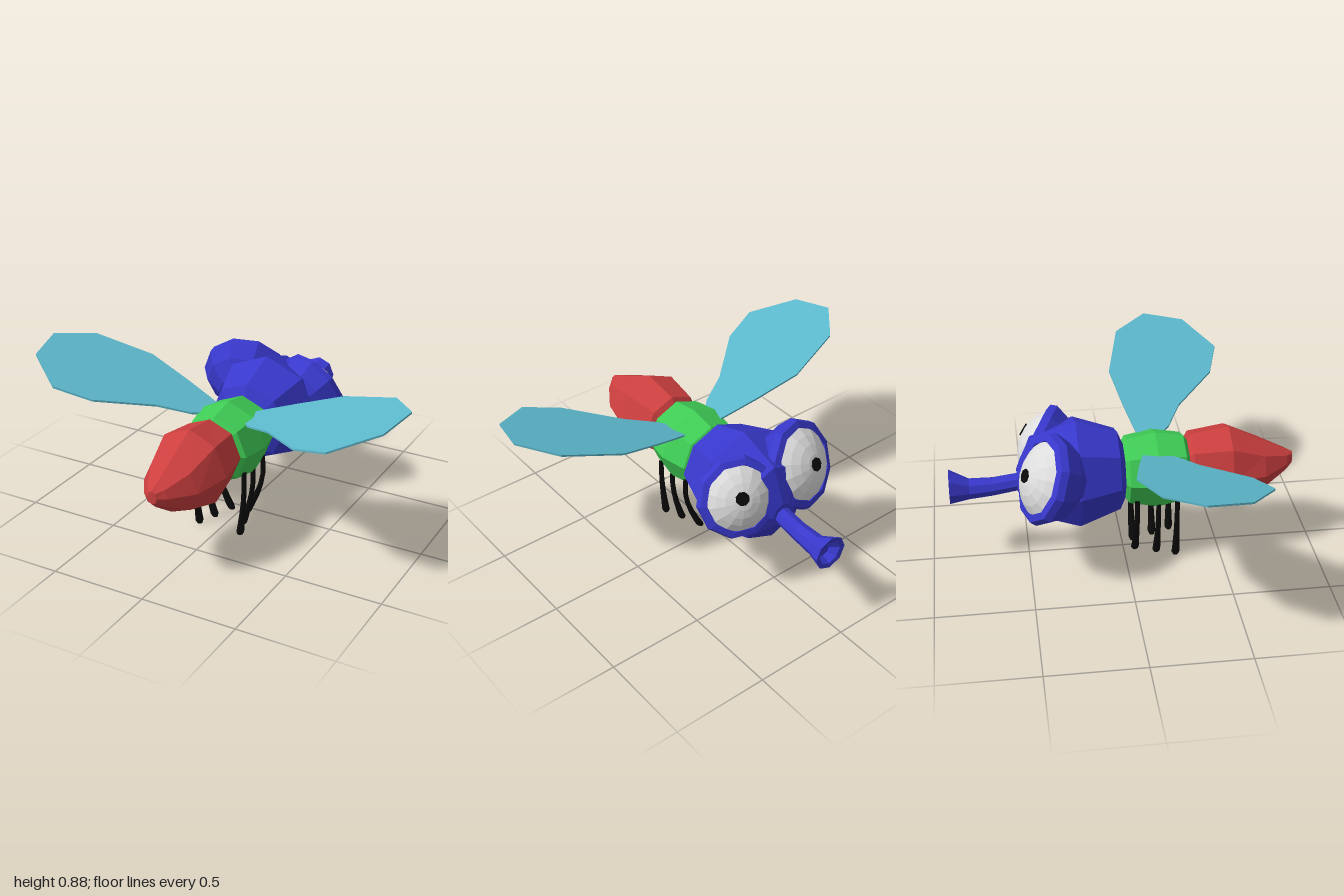
import * as THREE from 'three';

const mat = (name, color) => {
  const m = new THREE.MeshStandardMaterial({ color });
  m.name = name;
  return m;
};

// faceted normals
function flat(geometry) {
  const g = geometry.index ? geometry.toNonIndexed() : geometry;
  g.computeVertexNormals();
  return g;
}

// closed body along z from rings of [z, centreY, radiusX, radiusY]
function loft(rings, n = 8) {
  const pos = [], idx = [];
  for (const [z, cy, rx, ry] of rings) {
    for (let j = 0; j < n; j++) {
      const a = (j / n) * Math.PI * 2;
      pos.push(Math.sin(a) * rx, cy + Math.cos(a) * ry, z);
    }
  }
  const last = rings.length - 1;
  const c0 = pos.length / 3, c1 = c0 + 1;
  pos.push(0, rings[0][1], rings[0][0], 0, rings[last][1], rings[last][0]);
  for (let j = 0; j < n; j++) {
    const k = (j + 1) % n;
    for (let i = 0; i < last; i++) {
      const a = i * n + j, b = i * n + k, c = b + n, d = a + n;
      idx.push(a, d, c, a, c, b);
    }
    idx.push(c0, j, k, c1, last * n + k, last * n + j);
  }
  const g = new THREE.BufferGeometry();
  g.setAttribute('position', new THREE.Float32BufferAttribute(pos, 3));
  g.setIndex(idx);
  return flat(g);
}

const lathe = (points, sides) =>
  flat(new THREE.LatheGeometry(points.map(([r, y]) => new THREE.Vector2(r, y)), sides));

export function createModel() {
  const model = new THREE.Group();
  const red = mat('red', 0xcc3f3f), green = mat('green', 0x3fcc55), blue = mat('blue', 0x3838cc);
  const teal = mat('teal', 0x5cb8cc), white = mat('white', 0xdcdcdc), black = mat('black', 0x0a0a0a);

  const add = (name, geometry, material, parent = model) => {
    const mesh = new THREE.Mesh(geometry, material);
    mesh.name = name;
    parent.add(mesh);
    return mesh;
  };

  // body
  add('abdomen', loft([
    [0.33, 0.49, 0.14, 0.14], [0.35, 0.49, 0.17, 0.17], [0.545, 0.48, 0.2, 0.21],
    [0.72, 0.465, 0.15, 0.135], [0.85, 0.478, 0.065, 0.058], [0.885, 0.485, 0.025, 0.035],
  ]), red);
  add('thorax', loft([
    [0, 0.475, 0.15, 0.15], [0.02, 0.475, 0.18, 0.18], [0.165, 0.475, 0.207, 0.207],
    [0.31, 0.475, 0.18, 0.18], [0.33, 0.475, 0.15, 0.15],
  ]), green);
  add('head', loft([
    [-0.545, 0.455, 0.06, 0.06], [-0.47, 0.48, 0.215, 0.215], [-0.24, 0.485, 0.29, 0.29],
    [-0.03, 0.485, 0.215, 0.215], [0, 0.475, 0.15, 0.15],
  ]), blue);

  // trunk-like mouth with a recessed end
  add('proboscis', loft([
    [-0.84, 0.425, 0.035, 0.035], [-0.885, 0.44, 0.065, 0.068], [-0.89, 0.44, 0.09, 0.09],
    [-0.79, 0.42, 0.054, 0.055], [-0.67, 0.425, 0.047, 0.049], [-0.5, 0.45, 0.045, 0.045],
  ]), blue);

  // eyes: one a little bigger than the other
  function addEye(name, R, centre, normal, pupilTilt) {
    const eye = new THREE.Group();
    eye.name = name;
    eye.position.set(...centre);
    eye.quaternion.setFromUnitVectors(new THREE.Vector3(0, 1, 0), new THREE.Vector3(...normal).normalize());
    model.add(eye);
    add(name + 'Socket', lathe([
      [0, -0.86], [0.5, -0.78], [0.85, -0.45], [1, -0.08], [0.95, 0.08], [0.8, 0.12], [0.76, 0.02],
    ].map(([r, y]) => [r * R, y * R]), 10), blue, eye);

    const rim = 0.79 * R, h = 0.33 * R, base = 0.09 * R;
    const ball = (rim * rim + h * h) / (2 * h);
    const span = Math.asin(rim / ball);
    const dome = [];
    for (let i = 4; i >= 0; i--) {
      const a = (span * i) / 4;
      dome.push([Math.sin(a) * ball, base + h - ball + Math.cos(a) * ball]);
    }
    add(name + 'White', lathe(dome, 14), white, eye);

    const pivot = new THREE.Group();
    pivot.name = name + 'PupilPivot';
    pivot.position.y = base + h - ball;
    pivot.rotation.x = pupilTilt;
    eye.add(pivot);
    add(name + 'Pupil', flat(new THREE.CylinderGeometry(0.035, 0.035, 0.009, 8)), black, pivot).position.y = ball;
  }
  addEye('rightEye', 0.235, [-0.215, 0.585, -0.425], [-0.25, 0.4, -0.88], 0);
  addEye('leftEye', 0.21, [0.185, 0.575, -0.425], [0.3, 0.4, -0.86], 0.07);

  // wings: thin plates rising outwards, outline as [x, z]
  const outline = [
    [0.1, 0.09], [0.16, 0.075], [0.31, 0.04], [0.55, -0.005], [0.85, 0.07], [0.995, 0.245],
    [0.95, 0.46], [0.74, 0.61], [0.55, 0.55], [0.31, 0.34], [0.16, 0.26], [0.1, 0.2],
  ];
  for (const s of [1, -1]) {
    const shape = new THREE.Shape(outline.map(([x, z]) => new THREE.Vector2(s * x, -z)));
    const g = new THREE.ExtrudeGeometry(shape, { depth: 0.01, bevelEnabled: false });
    g.rotateX(-Math.PI / 2);
    const p = g.attributes.position;
    for (let i = 0; i < p.count; i++) {
      const x = Math.abs(p.getX(i));
      p.setY(i, p.getY(i) + 0.608 + 0.31 * (x - 0.14) - 0.07 * (p.getZ(i) - 0.25));
    }
    add(s > 0 ? 'leftWing' : 'rightWing', flat(g), teal);
  }

  // legs: slim stalks bending in towards rounded feet, as [z, foot x]
  const legs = { front: [0.058, 0.04], middle: [0.168, 0.08], rear: [0.265, 0.118] };
  for (const [name, [z, foot]] of Object.entries(legs)) {
    for (const s of [1, -1]) {
      const g = new THREE.LatheGeometry([
        [0, 0], [0.014, 0.004], [0.021, 0.02], [0.019, 0.06], [0.016, 0.13],
        [0.014, 0.2], [0.013, 0.27], [0.012, 0.37],
      ].map(([r, y]) => new THREE.Vector2(r, y)), 8);
      const p = g.attributes.position;
      for (let i = 0; i < p.count; i++) {
        const bend = Math.sin((p.getY(i) / 0.37) * Math.PI * 0.6);
        p.setX(i, p.getX(i) + s * (foot + (0.143 - foot) * bend));
      }
      g.computeVertexNormals();
      add((s > 0 ? 'left' : 'right') + '_' + name + 'Leg', g, black).position.z = z;
    }
  }
  return model;
}
